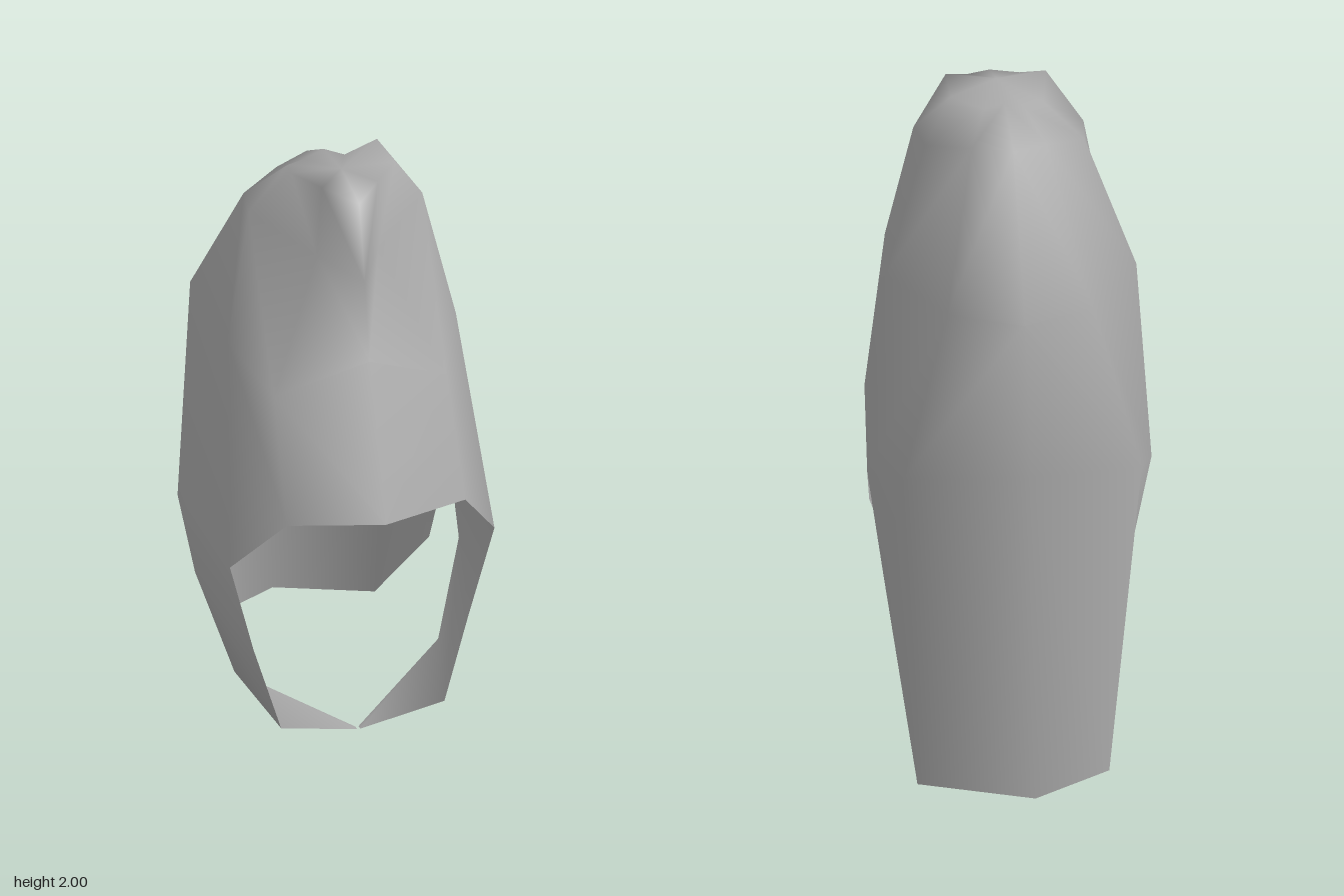
import * as THREE from 'three';
import { mergeVertices } from 'three/addons/utils/BufferGeometryUtils.js';

const cloth = new THREE.MeshStandardMaterial({ color: 0xa8a8a8, side: THREE.DoubleSide });
cloth.name = 'grey cloth';

// Half cross-sections of the hood, each from centre front round the left side to centre back
const rings = [
  [[0, 1.105, .665], [.265, 1.09, .575], [.405, .89, .45], [.443, .83, -.07], [.35, .98, -.44], [0, 1.035, -.58]],
  [[0, 1.53, .48], [.255, 1.41, .4], [.342, 1.5, .21], [.37, 1.51, -.17], [.21, 1.46, -.37], [0, 1.45, -.46]],
  [[0, 1.75, .425], [.09, 1.76, .25], [.255, 1.86, .13], [.235, 1.85, -.02], [.11, 1.87, -.13], [0, 1.88, -.2]],
  [[0, 1.96, .365], [.08, 1.975, .27], [.15, 1.998, .2], [.12, 1.95, .04], [.06, 1.945, 0], [0, 1.965, -.01]],
];
const crown = [0, 1.985, .18];

// Cheek strap sections: front edge, rear edge
const strap = [
  [rings[0][2], rings[0][3]],
  [[.335, .6, .475], [.43, .65, .1]],
  [[.26, .31, .5], [.335, .32, .2]],
  [[.005, .215, .45], [.005, .21, .43]],
];

// Neck flap corners
const flapSide = [.385, .49, -.13], flapCorner = [.295, 0, -.545], flapBack = [0, 0, -.665];

// The cloth sits slightly to one side, the flap corners swing with it,
// and one rear corner of the peak stands up more than the other
function lean([x, y, z]) {
  const sway = z < -.1 ? .05 * Math.max(0, 1 - y / .8) * Math.min(1, Math.abs(x) / .29) : 0;
  const shift = y > .85 ? .01 : 0;
  const lift = y > 1.9 && x > .1 && z < .1 ? .035 : 0;
  return [x + sway + shift + lift, y + lift, z - lift];
}

export function createModel() {
  const group = new THREE.Group();
  group.name = 'hood';
  const points = [];
  const ranges = [];

  const tri = (a, b, c) => {
    for (const side of [1, -1]) {
      const corners = side > 0 ? [a, b, c] : [a, c, b];
      for (const [x, y, z] of corners) points.push(...lean([x * side, y, z]));
    }
  };
  const quad = (a, b, c, d) => { tri(a, b, c); tri(a, c, d); };
  const part = (name, build) => {
    const start = points.length / 3;
    build();
    ranges.push({ name, start, end: points.length / 3 });
  };

  // Head covering with its ridged peak, hollowed on either side of the ridge
  part('headCover', () => {
    for (let i = 0; i < rings.length - 1; i++)
      for (let j = 0; j < 5; j++)
        quad(rings[i][j], rings[i][j + 1], rings[i + 1][j + 1], rings[i + 1][j]);
    const top = rings[3];
    for (let j = 0; j < 5; j++) tri(top[j], top[j + 1], crown);
  });

  // Two straps meeting under the chin
  part('cheekStraps', () => {
    for (let i = 0; i < strap.length - 1; i++)
      quad(strap[i + 1][0], strap[i + 1][1], strap[i][1], strap[i][0]);
  });

  // Flap hanging over the neck
  part('neckFlap', () => {
    const [, , , side, rear, back] = rings[0];
    tri(flapSide, rear, side);
    tri(flapSide, flapCorner, rear);
    quad(flapCorner, flapBack, back, rear);
  });

  // Weld everything so the normals flow smoothly across the parts
  let shell = new THREE.BufferGeometry();
  shell.setAttribute('position', new THREE.Float32BufferAttribute(points, 3));
  shell = mergeVertices(shell, 1e-4);
  shell.computeVertexNormals();

  for (const { name, start, end } of ranges) {
    const geometry = new THREE.BufferGeometry();
    geometry.setAttribute('position', shell.attributes.position);
    geometry.setAttribute('normal', shell.attributes.normal);
    geometry.setIndex(Array.from(shell.index.array.slice(start, end)));
    const mesh = new THREE.Mesh(geometry, cloth);
    mesh.name = name;
    group.add(mesh);
  }
  return group;
}
